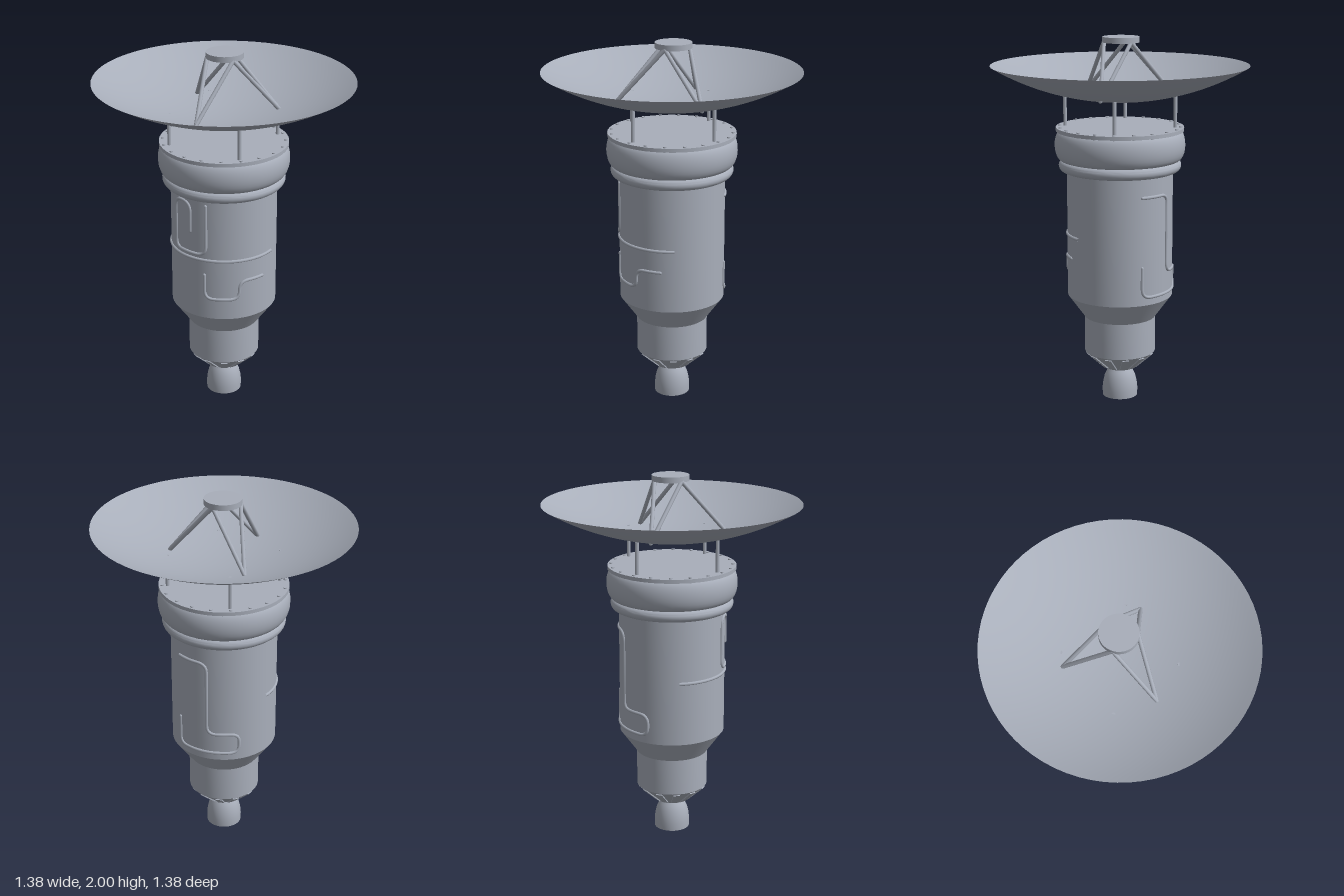
import * as THREE from 'three';
import { toCreasedNormals } from 'three/addons/utils/BufferGeometryUtils.js';

const V = (x, y, z) => new THREE.Vector3(x, y, z);

export function createModel() {
  const model = new THREE.Group();
  model.name = 'satellite';
  const grey = new THREE.MeshStandardMaterial({ color: 0xa8aeba, side: THREE.DoubleSide });
  grey.name = 'hull grey';

  const add = (name, geometry, parent = model) => {
    const mesh = new THREE.Mesh(geometry, grey);
    mesh.name = name;
    parent.add(mesh);
    return mesh;
  };
  const group = (name) => {
    const g = new THREE.Group();
    g.name = name;
    model.add(g);
    return g;
  };
  // Revolved [radius, height] profile with sharp edges kept
  const lathe = (name, points, segments = 48) => add(name, toCreasedNormals(
    new THREE.LatheGeometry(points.map(([r, y]) => new THREE.Vector2(r, y)), segments), 0.5));
  // Bulging half-ellipse profile between two heights
  const bulge = (y0, y1, rIn, rOut) => Array.from({ length: 13 }, (_, i) => {
    const t = -Math.PI / 2 + Math.PI * i / 12;
    return [rIn + (rOut - rIn) * Math.cos(t), (y0 + y1) / 2 + (y1 - y0) / 2 * Math.sin(t)];
  });
  // Straight round rod between two points
  const rod = (name, a, b, r, parent) => {
    const mesh = add(name, new THREE.CylinderGeometry(r, r, a.distanceTo(b), 10), parent);
    mesh.position.copy(a).add(b).multiplyScalar(0.5);
    mesh.quaternion.setFromUnitVectors(V(0, 1, 0), b.clone().sub(a).normalize());
    return mesh;
  };

  // Engine bell, open at the bottom
  lathe('engineBell', [[0.097, 0], [0.098, 0.04], [0.094, 0.075], [0.086, 0.11],
    [0.073, 0.14], [0.056, 0.163], [0, 0.17]], 32);

  // Stepped hull
  lathe('hull', [[0, 0.165], [0.085, 0.165], [0.195, 0.265], [0.195, 0.465], [0.287, 0.592],
    [0.287, 1.3]]);

  // Raised ribs on the lower cone
  const ribs = group('coneRibs');
  for (let i = 0; i < 12; i++) {
    const pivot = new THREE.Group();
    pivot.name = 'coneRib';
    pivot.rotation.y = i * Math.PI / 6;
    const rib = add('ribBar', new THREE.BoxGeometry(0.036, 0.12, 0.012), pivot);
    rib.position.set(0, 0.217, 0.141);
    rib.rotation.x = Math.atan2(0.11, 0.1);
    ribs.add(pivot);
  }

  // Collar: small ring, large bulge and bolted flange
  lathe('collarRing', bulge(1.282, 1.345, 0.3, 0.331));
  lathe('collarBulge', [[0.3, 1.342], ...bulge(1.342, 1.504, 0.315, 0.352)]);
  const flange = add('topFlange', new THREE.CylinderGeometry(0.345, 0.345, 0.02, 48));
  flange.position.y = 1.51;
  const bolts = group('flangeBolts');
  for (let i = 0; i < 20; i++) {
    const a = (i + 0.5) * Math.PI / 10;
    const bolt = add('bolt', new THREE.CylinderGeometry(0.009, 0.009, 0.03, 8), bolts);
    bolt.position.set(0.326 * Math.sin(a), 1.511, 0.326 * Math.cos(a));
  }

  // Half band across the front of the hull
  const band = add('frontBand', new THREE.TorusGeometry(0.287, 0.009, 8, 32, Math.PI));
  band.rotation.x = Math.PI / 2;
  band.position.y = 0.937;

  // Surface pipes given as [angle from front, height], corners rounded
  const pipe = (name, corners, bend = 0.045) => {
    const R = 0.287;
    const flat = corners.map(([a, y]) => new THREE.Vector2(a * R, y));
    const path = [flat[0]];
    for (let i = 1; i < flat.length - 1; i++) {
      const p = flat[i];
      const toward = (q) => p.clone().add(q.clone().sub(p).setLength(
        Math.min(bend, p.distanceTo(q) / 2)));
      const curve = new THREE.QuadraticBezierCurve(toward(flat[i - 1]), p, toward(flat[i + 1]));
      path.push(...curve.getPoints(6));
    }
    path.push(flat[flat.length - 1]);
    // Subdivide straight runs so the pipe follows the round hull
    const pts = [];
    path.forEach((p, i) => {
      if (i) {
        const q = path[i - 1], d = p.distanceTo(q), n = Math.ceil(d / 0.03);
        if (d < 1e-4) return;
        for (let k = 1; k <= n; k++) pts.push(q.clone().lerp(p, k / n));
      } else pts.push(p);
    });
    const curve = new THREE.CatmullRomCurve3(
      pts.map((p) => V(R * Math.sin(p.x / R), p.y, R * Math.cos(p.x / R))));
    add(name, new THREE.TubeGeometry(curve, 90, 0.009, 8));
    for (const end of [0, 1]) {
      add('pipeEnd', new THREE.SphereGeometry(0.009, 8, 6)).position.copy(curve.getPoint(end));
    }
  };
  pipe('upperFrontPipe', [[-0.15, 1.09], [-0.15, 1.255], [-0.54, 1.255], [-0.54, 0.967],
    [0.175, 0.967], [0.175, 1.25]], 0.052);
  pipe('lowerFrontPipe', [[0.146, 0.85], [0.146, 0.71], [0.81, 0.71], [0.81, 0.817],
    [1.31, 0.817]], 0.052);
  const back = Math.PI + 0.57;
  pipe('backPipe', [[back - 0.835, 1.18], [back - 0.22, 1.18], [back - 0.22, 0.752],
    [back + 0.4, 0.752], [back + 0.4, 0.635], [back - 0.835, 0.635], [back - 0.835, 0.8]], 0.05);

  // Shallow spherical dish
  const R = (0.69 ** 2 + 0.19 ** 2) / (2 * 0.19);
  const dishY = (r) => 1.66 + R - Math.sqrt(R * R - r * r);
  lathe('dish', Array.from({ length: 21 }, (_, i) => [0.69 * i / 20, dishY(0.69 * i / 20)]), 72);

  // Four posts carrying the dish
  const posts = group('dishPosts');
  for (const x of [-0.21, 0.21]) {
    for (const z of [-0.21, 0.21]) {
      rod('dishPost', V(x, 1.51, z), V(x, dishY(0.297), z), 0.01, posts);
    }
  }

  // Feed puck on a six-rod truss
  const feed = add('feedPuck', new THREE.CylinderGeometry(0.099, 0.099, 0.03, 40));
  feed.position.set(0, 1.985, -0.008);
  const truss = group('feedTruss');
  for (let i = 0; i < 3; i++) {
    const a = i * Math.PI * 2 / 3;
    const foot = V(0.287 * Math.sin(a), dishY(0.287), 0.287 * Math.cos(a));
    for (const side of [-1, 1]) {
      const b = a + side * Math.PI / 3;
      rod('feedStrut', foot, V(0.088 * Math.sin(b), 1.975, 0.088 * Math.cos(b) - 0.004), 0.011, truss);
    }
    add('strutFoot', new THREE.SphereGeometry(0.011, 10, 6), truss).position.copy(foot);
  }
  return model;
}
